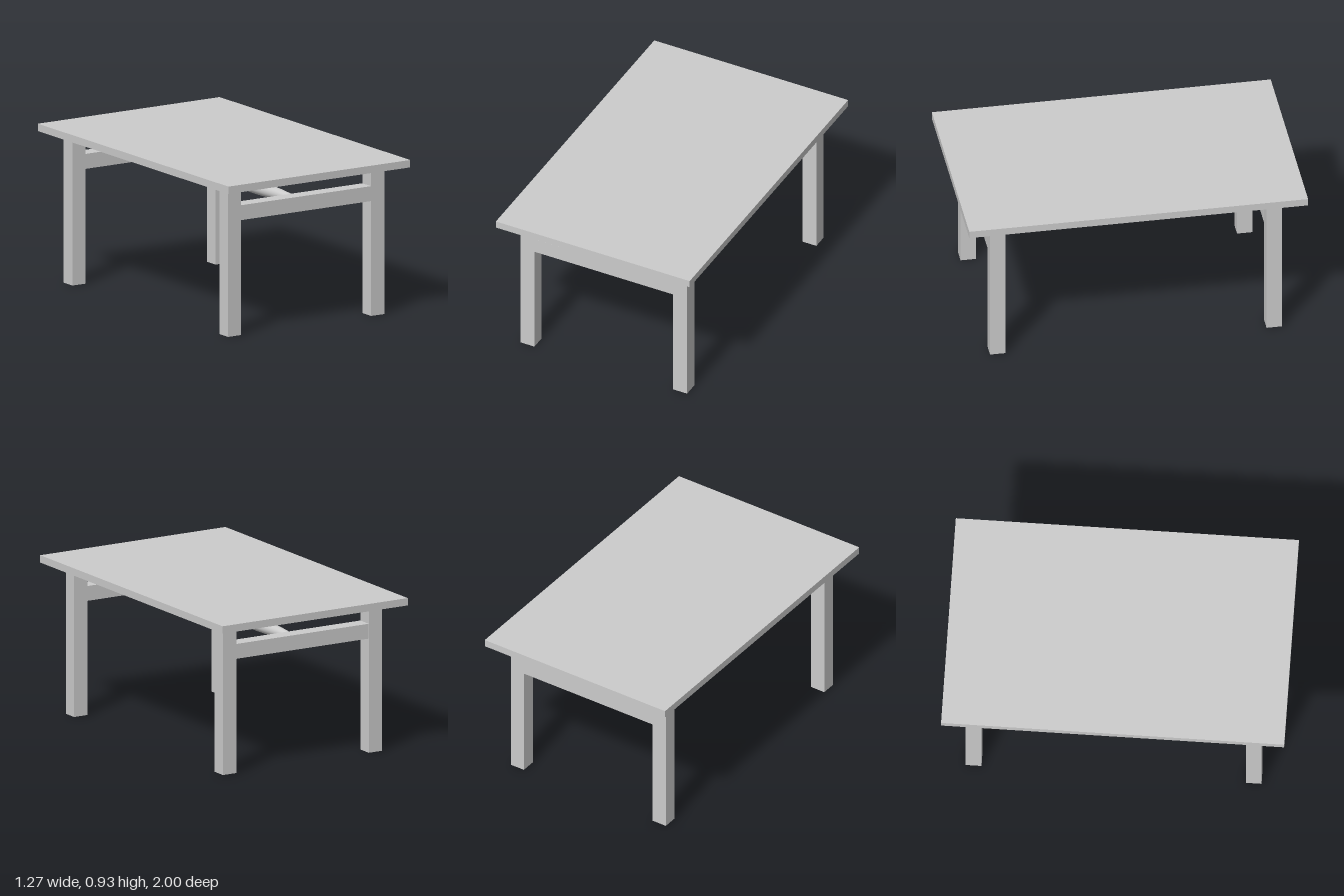
import * as THREE from 'three';

export function createModel() {
  const table = new THREE.Group();
  table.name = 'table';
  const material = new THREE.MeshStandardMaterial({ color: 0xcccccc });

  const box = (name, w, h, d, x, y, z) => {
    const mesh = new THREE.Mesh(new THREE.BoxGeometry(w, h, d), material);
    mesh.name = name;
    mesh.position.set(x, y, z);
    table.add(mesh);
  };

  // Flat slab top
  box('tableTop', 1.27, 0.044, 2, 0, 0.911, 0);

  // Square legs, with a rail joining each end pair
  for (const [end, sz] of [['front', 1], ['back', -1]]) {
    for (const [side, sx] of [['Left', 1], ['Right', -1]]) {
      box(`${end}${side}Leg`, 0.092, 0.889, 0.092, sx * 0.5, 0.4445, sz * 0.816);
    }
    box(`${end}Rail`, 0.908, 0.089, 0.092, 0, 0.729, sz * 0.815);
  }

  // Round stretcher tapering to both ends, running between the rails
  const half = [[0, 0.768], [0.01, 0.763], [0.019, 0.74], [0.027, 0.68],
    [0.033, 0.6], [0.038, 0.48], [0.04, 0.38], [0.0405, 0.2]];
  const profile = [
    ...half.map(([r, z]) => new THREE.Vector2(r, -z)),
    ...half.slice().reverse().map(([r, z]) => new THREE.Vector2(r, z)),
  ];
  const stretcher = new THREE.Mesh(new THREE.LatheGeometry(profile, 32), material);
  stretcher.name = 'stretcher';
  stretcher.rotation.x = Math.PI / 2;
  stretcher.position.y = 0.728;
  table.add(stretcher);

  return table;
}
